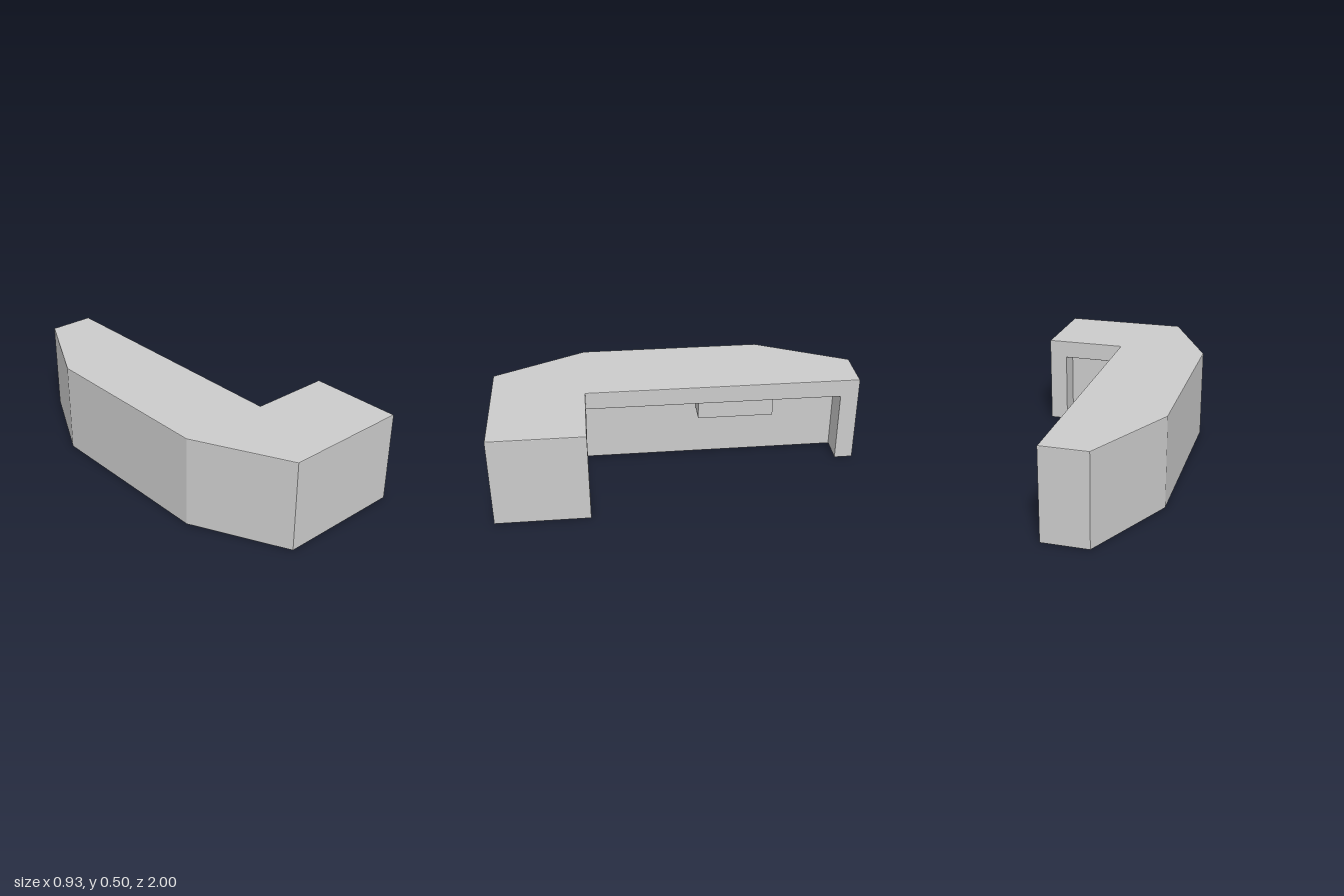
import * as THREE from 'three';

const BEVEL = 0.004;

// Extrude a plan outline of [x, z] points upward from y0 to y1 with a fine bevel
function slab(name, plan, y0, y1, material) {
  const shape = new THREE.Shape(plan.map(([x, z]) => new THREE.Vector2(x, -z)));
  const geometry = new THREE.ExtrudeGeometry(shape, {
    depth: y1 - y0 - 2 * BEVEL,
    bevelEnabled: true,
    bevelThickness: BEVEL,
    bevelSize: BEVEL,
    bevelOffset: -BEVEL,
    bevelSegments: 2,
  });
  geometry.rotateX(-Math.PI / 2).translate(0, y0 + BEVEL, 0);
  const mesh = new THREE.Mesh(geometry, material);
  mesh.name = name;
  return mesh;
}

export function createModel() {
  const group = new THREE.Group();
  group.name = 'receptionDesk';
  const material = new THREE.MeshStandardMaterial({ color: 0xcccccc });

  // Outer faces shared by the counter top and the base
  const outer = [[0.467, 0.5], [0.467, 1], [-0.22, 1], [-0.467, 0.5], [-0.467, -0.5], [-0.22, -1], [0.028, -1]];

  // L-shaped counter top with two angled corners
  group.add(slab('counterTop', [...outer, [0.028, 0.5]], 0.4, 0.5, material));

  // Base set back under the top, leaving an end panel at each end;
  // it runs up into the top so the outer faces are continuous
  const recess = [[0.028, -0.9], [-0.125, -0.9], [-0.125, 0.625], [0.367, 0.625], [0.367, 0.5]];
  group.add(slab('base', [...outer, ...recess], 0, 0.45, material));

  // Drawer hung under the top, against the recessed wall
  const drawer = new THREE.Mesh(new THREE.BoxGeometry(0.14, 0.12, 0.415), material);
  drawer.name = 'drawer';
  drawer.position.set(-0.07, 0.352, -0.32);
  group.add(drawer);

  return group;
}
